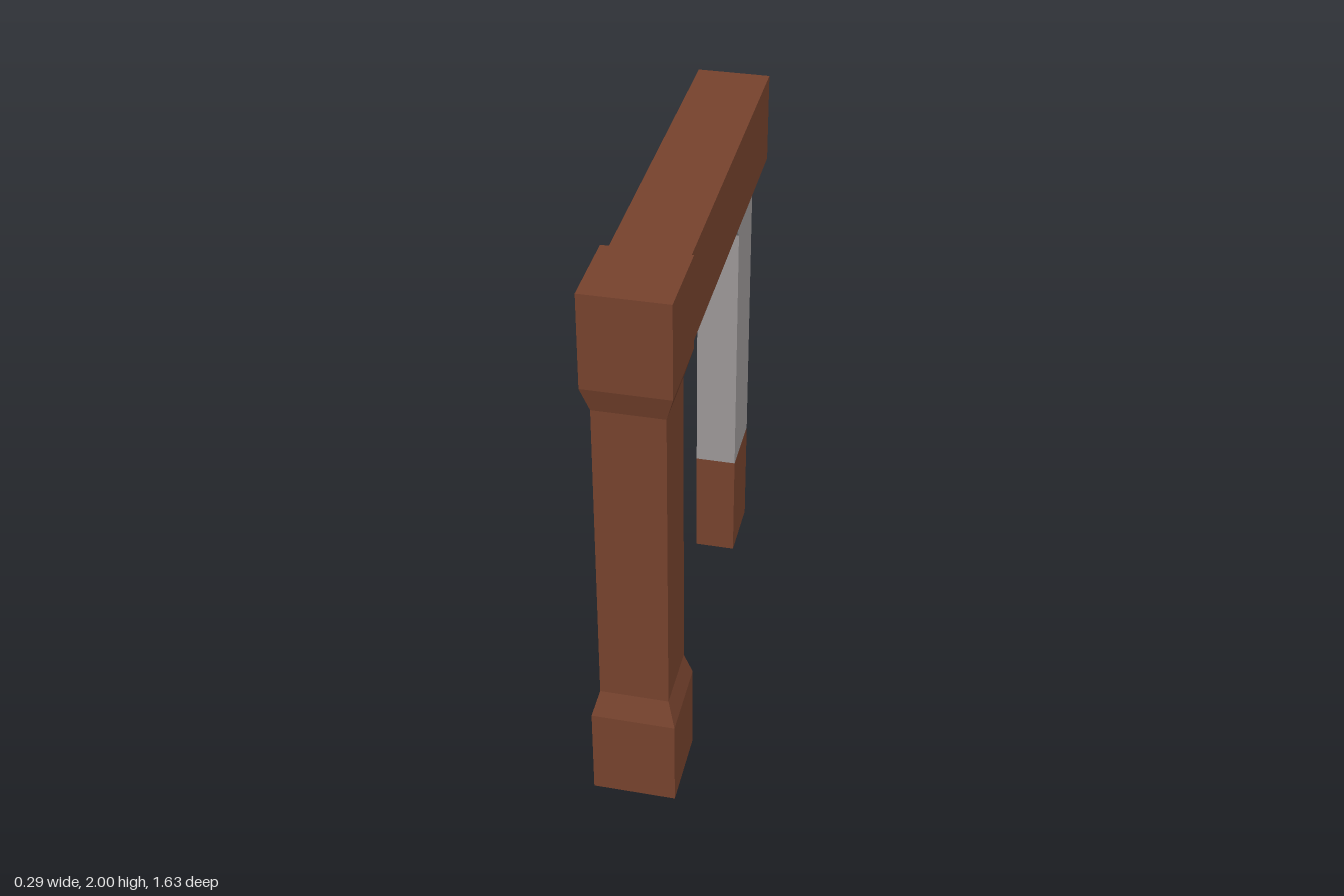
import * as THREE from 'three';

const wood = new THREE.MeshStandardMaterial({ color: 0x76422d, side: THREE.DoubleSide });
wood.name = 'brown wood';
const plaster = new THREE.MeshStandardMaterial({ color: 0x9c9898, side: THREE.DoubleSide });
plaster.name = 'grey plaster';

const WALL_HALF = 0.076; // half thickness of the wall
const BACK = -0.812;     // rear end of wall and beam
const FRONT = 0.68;      // wall end buried in the post
const FOOT_TOP = 0.44;

function addMesh(group, name, geometry, material) {
  const mesh = new THREE.Mesh(geometry, material);
  mesh.name = name;
  group.add(mesh);
  return mesh;
}

// Square column from [half width, height] pairs, open underneath
function squareColumn(profile) {
  const points = profile.map(([half, y]) => new THREE.Vector2(half * Math.SQRT2, y));
  const geometry = new THREE.LatheGeometry(points, 4, Math.PI / 4).toNonIndexed();
  geometry.computeVertexNormals();
  return geometry;
}

export function createModel() {
  const group = new THREE.Group();

  // Front post with thick head and base
  const post = squareColumn([
    [0.144, 0], [0.144, 0.335], [0.118, 0.43], [0.118, 1.58],
    [0.144, 1.67], [0.144, 2], [0, 2],
  ]);
  addMesh(group, 'post', post, wood).position.z = 0.671;

  // Top beam
  const beam = new THREE.BoxGeometry(0.256, 0.325, 1.352);
  addMesh(group, 'beam', beam, wood).position.set(0, 1.8125, BACK + 0.676);

  // Wall with a chamfered doorway, drawn in (-z, y) and extruded across x
  const outline = [
    [BACK, FOOT_TOP], [BACK, 1.65], [FRONT, 1.65], [FRONT, FOOT_TOP],
    [0.427, FOOT_TOP], [0.427, 1.46], [0.318, 1.58],
    [-0.45, 1.58], [-0.56, 1.46], [-0.56, FOOT_TOP],
  ];
  const shape = new THREE.Shape(outline.map(([z, y]) => new THREE.Vector2(-z, y)));
  const wall = new THREE.ExtrudeGeometry(shape, { depth: WALL_HALF * 2, bevelEnabled: false });
  wall.translate(0, 0, -WALL_HALF);
  wall.rotateY(Math.PI / 2);
  addMesh(group, 'doorwayWall', wall, plaster);

  // Brown feet of the wall, open underneath
  for (const [name, z0, z1] of [['frontFoot', 0.427, FRONT], ['backFoot', BACK, -0.56]]) {
    const foot = squareColumn([[1, 0.01], [1, FOOT_TOP]]);
    foot.scale(WALL_HALF, 1, (z1 - z0) / 2);
    addMesh(group, name, foot, wood).position.z = (z0 + z1) / 2;
  }

  return group;
}
